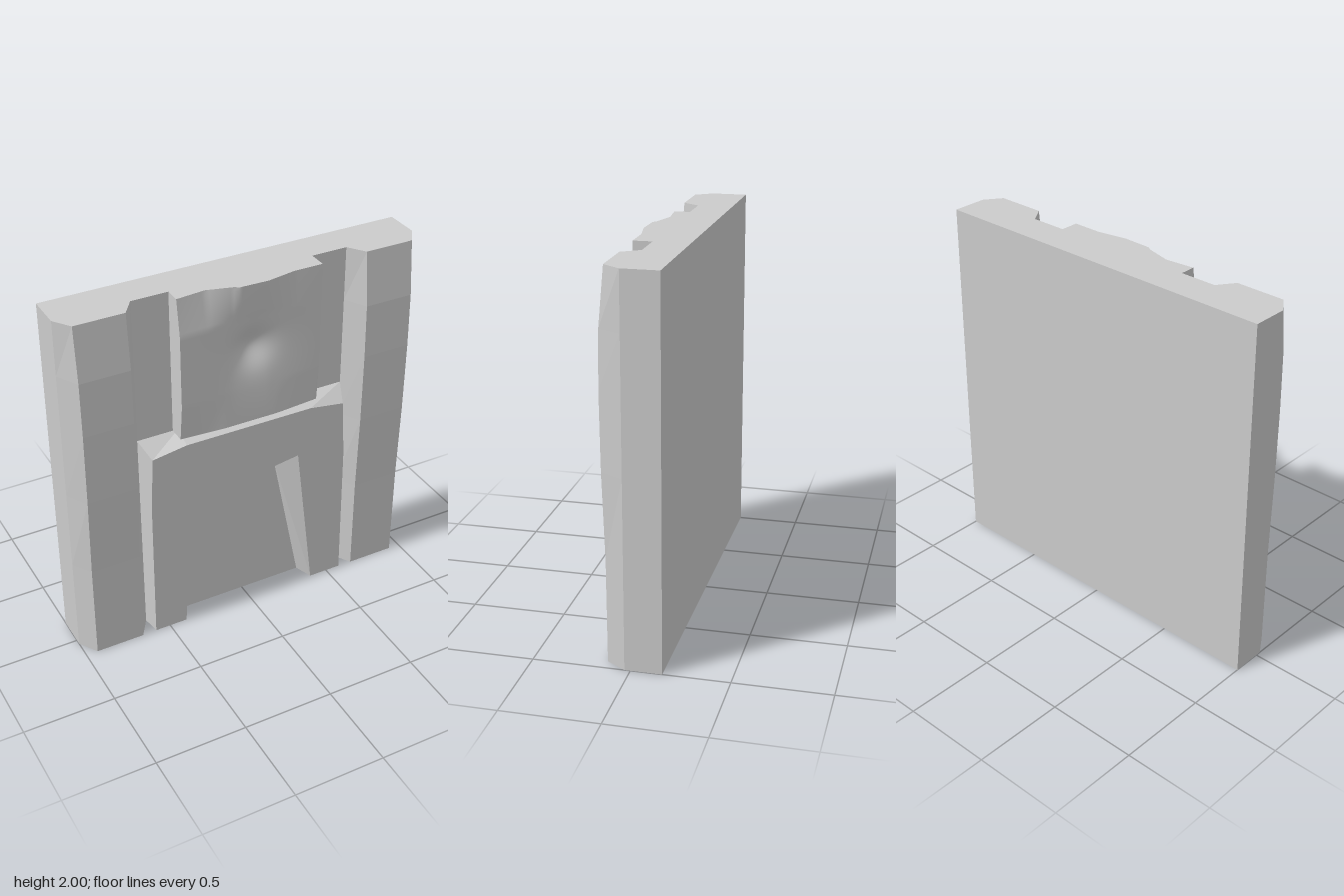
import * as THREE from 'three';

// Skin a stack of closed counter-clockwise outlines [u, v] at heights w, with end caps.
// place(u, v, w) turns them into x, y, z and keeps handedness.
function loft(layers, place, capStart, capEnd) {
  const pos = [];
  const put = (l, i) => pos.push(...place(...l.ring[i % l.ring.length], l.w));
  for (let k = 0; k < layers.length - 1; k++) {
    const a = layers[k], b = layers[k + 1];
    for (let i = 0; i < a.ring.length; i++) {
      put(a, i); put(a, i + 1); put(b, i + 1);
      put(a, i); put(b, i + 1); put(b, i);
    }
  }
  const cap = (l, flip) => {
    const pts = l.ring.map(([u, v]) => new THREE.Vector2(u, v));
    for (const [a, b, c] of THREE.ShapeUtils.triangulateShape(pts, [])) {
      const area = (pts[b].x - pts[a].x) * (pts[c].y - pts[a].y) - (pts[b].y - pts[a].y) * (pts[c].x - pts[a].x);
      for (const i of (area > 0) !== flip ? [a, b, c] : [a, c, b]) put(l, i);
    }
  };
  if (capStart) cap(layers[0], true);
  if (capEnd) cap(layers[layers.length - 1], false);
  const geo = new THREE.BufferGeometry();
  geo.setAttribute('position', new THREE.Float32BufferAttribute(pos, 3));
  geo.computeVertexNormals();
  return geo;
}

// Piecewise linear profile through [x, value] points
function profile(points, x) {
  for (let i = 1; i < points.length; i++) {
    const [x0, a] = points[i - 1], [x1, b] = points[i];
    if (x <= x1) return a + (b - a) * Math.max(0, (x - x0) / (x1 - x0));
  }
  return points[points.length - 1][1];
}

export function createModel() {
  const group = new THREE.Group();
  const material = new THREE.MeshStandardMaterial({ color: 0xcccccc });
  const add = (name, geo) => {
    const mesh = new THREE.Mesh(geo, material);
    mesh.name = name;
    group.add(mesh);
    return mesh;
  };
  const base = 0.03; // front of the backing slab

  const slab = add('backSlab', new THREE.BoxGeometry(2, 2, 0.19));
  slab.position.set(0, 1, base - 0.095);

  // Bevelled side pillars, gently bulging along their height
  const bulge = [[0, 0.132], [0.55, 0.135], [1, 0.15], [1.4, 0.155], [1.7, 0.15], [2, 0.122]];
  for (const [name, s] of [['leftPillar', 1], ['rightPillar', -1]]) {
    const layers = bulge.map(([y, z]) => {
      const ring = [[base, 0.6 * s], [z, 0.665 * s], [z, 0.935 * s], [base, s]];
      return { w: y, ring: s > 0 ? ring.reverse() : ring };
    });
    // outline order is made counter-clockwise in the z-x plane
    const r = layers[0].ring;
    const area = r.reduce((t, p, i) => {
      const q = r[(i + 1) % r.length];
      return t + p[0] * q[1] - p[1] * q[0];
    }, 0);
    if (area < 0) layers.forEach((l) => l.ring.reverse());
    add(name, loft(layers, (z, x, y) => [x, y, z], true, true));
  }

  // Door surround with a crooked opening and bevelled edges
  const rim = [[0.36, 0], [0.6, 0], [0.6, 0.8], [0.6, 1.2], [0.36, 1.2], [-0.37, 1.2],
    [-0.6, 1.2], [-0.6, 0.8], [-0.6, 0], [-0.36, 0], [-0.315, 0.7], [0.2, 0.8]];
  const face = [[0.395, 0], [0.585, 0], [0.58, 0.8], [0.56, 1.13], [0.36, 1.16], [-0.37, 1.16],
    [-0.565, 1.13], [-0.58, 0.8], [-0.585, 0], [-0.4, 0], [-0.35, 0.78], [0.29, 0.88]];
  add('doorSurround', loft([{ w: base, ring: rim }, { w: 0.13, ring: face }], (x, y, z) => [x, y, z], false, true));

  // Uneven upper panel with a dent in the middle
  const topEdge = [[-0.4, 0.115], [-0.24, 0.1], [-0.1, 0.14], [-0.08, 0.155], [0.08, 0.16], [0.24, 0.13], [0.4, 0.13]];
  const middle = [[-0.4, 0.145], [-0.1, 0.14], [0.1, 0.14], [0.4, 0.13]];
  const bottomEdge = [[-0.4, 0.12], [-0.15, 0.138], [0.15, 0.138], [0.4, 0.115]];
  const panel = new THREE.BoxGeometry(0.8, 0.8, 0.1, 40, 40, 1);
  panel.translate(0, 1.6, 0);
  const p = panel.attributes.position;
  for (let i = 0; i < p.count; i++) {
    const x = p.getX(i), y = p.getY(i);
    const height = profile([[1.2, profile(bottomEdge, x)], [1.4, profile(middle, x)],
      [1.8, profile(middle, x)], [2, profile(topEdge, x)]], y);
    const r = Math.hypot(x - 0.01, y - 1.62);
    const dent = 0.045 * Math.exp(-((r / 0.1) ** 2)) + 0.02 * Math.exp(-((r / 0.24) ** 2));
    p.setZ(i, p.getZ(i) > 0 ? height - dent : base - 0.01);
  }
  panel.computeVertexNormals();
  add('upperPanel', panel);

  return group;
}
